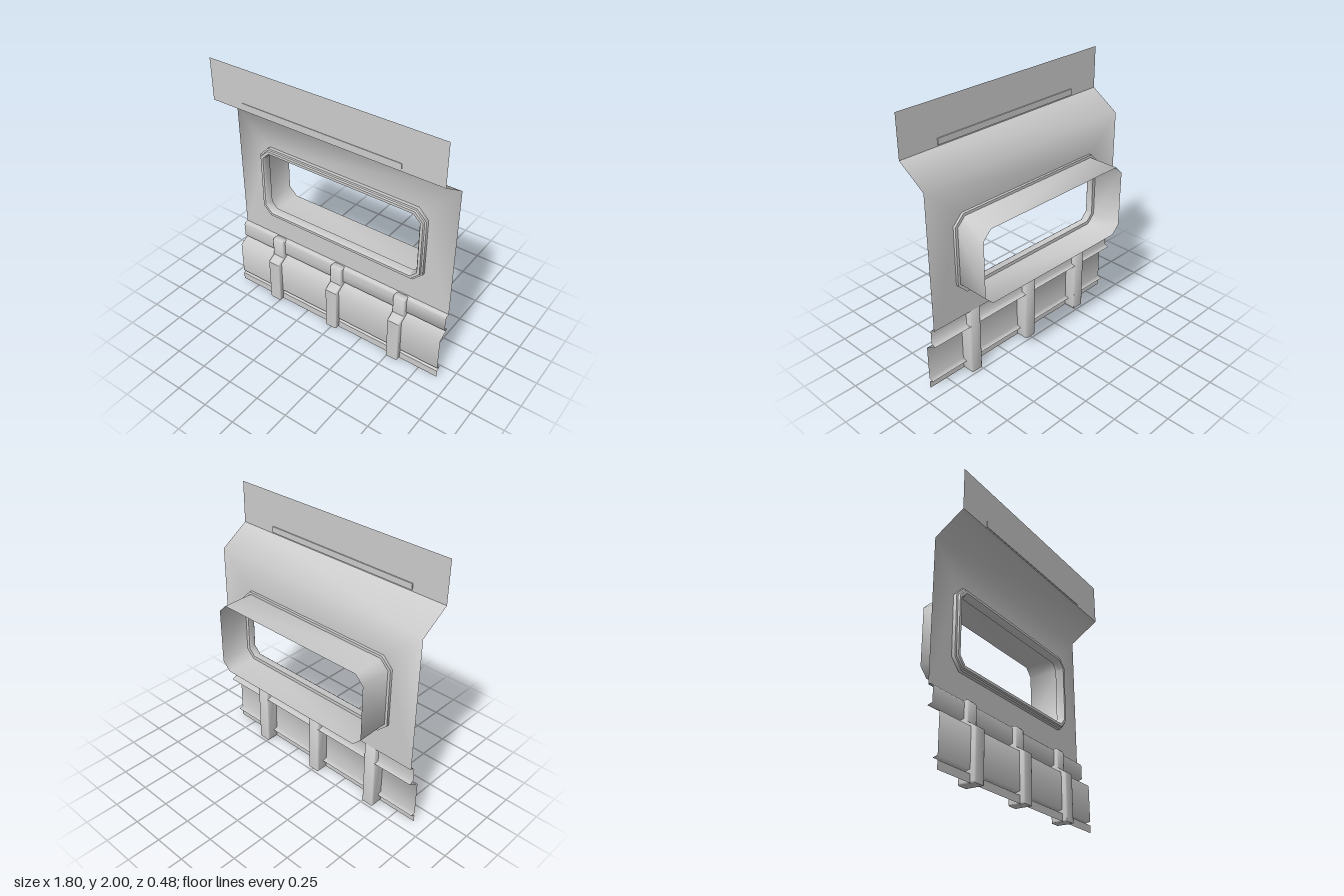
import * as THREE from 'three';
import { mergeGeometries, mergeVertices, toCreasedNormals } from 'three/addons/utils/BufferGeometryUtils.js';

const WIDTH = 1.8;
const WINDOW = { y: 1.015, w: 0.69, h: 0.295, chamfer: 0.075 };

const solid = new THREE.MeshStandardMaterial({ color: 0xcccccc });
const sheet = new THREE.MeshStandardMaterial({ color: 0xcccccc, side: THREE.DoubleSide });

// Chamfered window outline, moved inwards by inset (counter-clockwise)
function windowOutline(inset) {
  const w = WINDOW.w - inset, h = WINDOW.h - inset, c = WINDOW.chamfer - 0.586 * inset;
  return [
    [w, -h + c], [w, h - c], [w - c, h], [-w + c, h],
    [-w, h - c], [-w, -h + c], [-w + c, -h], [w - c, -h],
  ].map(([x, y]) => new THREE.Vector2(x, y + WINDOW.y));
}

// Sweeps a section of [inset, z] points around the window outline
function windowSweep(section) {
  const pos = [], index = [];
  section.forEach(([inset, z]) => windowOutline(inset).forEach(p => pos.push(p.x, p.y, z)));
  for (let r = 0; r < section.length - 1; r++) {
    for (let i = 0; i < 8; i++) {
      const a = r * 8 + i, b = r * 8 + (i + 1) % 8;
      index.push(a, b, b + 8, a, b + 8, a + 8);
    }
  }
  const geo = new THREE.BufferGeometry();
  geo.setAttribute('position', new THREE.Float32BufferAttribute(pos, 3));
  geo.setIndex(index);
  return geo;
}

// Full-width sheet following a profile of [z, y] points from top to bottom
function profileSheet(profile) {
  const geo = new THREE.PlaneGeometry(WIDTH, 1, 1, profile.length - 1);
  const pos = geo.attributes.position;
  for (let i = 0; i < pos.count; i++) {
    const [z, y] = profile[Math.floor(i / 2)];
    pos.setY(i, y);
    pos.setZ(i, z);
  }
  geo.computeVertexNormals();
  return geo;
}

// Wall with window hole, blended smoothly into the overhanging slope
function wallGeometry() {
  const half = WIDTH / 2;
  const shape = new THREE.Shape([
    new THREE.Vector2(-half, 0.53), new THREE.Vector2(half, 0.53),
    new THREE.Vector2(half, 1.55), new THREE.Vector2(-half, 1.55),
  ]);
  shape.holes.push(new THREE.Path(windowOutline(0.02).reverse()));
  const wall = new THREE.ShapeGeometry(shape).translate(0, 0, 0.02);
  const slope = profileSheet([[0.236, 1.69], [0.02, 1.55]]);
  for (const g of [wall, slope]) {
    g.deleteAttribute('uv');
    g.deleteAttribute('normal');
  }
  const geo = mergeVertices(mergeGeometries([wall, slope]));
  geo.computeVertexNormals();
  return geo;
}

// Stepped upright rib with softened edges
function ribGeometry(width) {
  const bevel = 0.012;
  const shape = new THREE.Shape([
    [0.02, 0], [0.145, 0], [0.145, 0.35], [0.083, 0.387],
    [0.083, 0.522], [0.072, 0.535], [0.03, 0.535], [0.02, 0.525],
  ].map(([z, y]) => new THREE.Vector2(z, y)));
  const geo = new THREE.ExtrudeGeometry(shape, {
    depth: width - 2 * bevel, bevelEnabled: true, bevelThickness: bevel,
    bevelSize: bevel, bevelOffset: -bevel, bevelSegments: 2,
  });
  geo.translate(0, 0, -(width - 2 * bevel) / 2).rotateY(-Math.PI / 2);
  return toCreasedNormals(geo, 0.9);
}

export function createModel() {
  const model = new THREE.Group();
  model.name = 'windowWallPanel';
  const add = (name, geometry, material) => {
    const mesh = new THREE.Mesh(geometry, material);
    mesh.name = name;
    model.add(mesh);
    return mesh;
  };

  // Wall, overhang and upper plate
  add('wall', wallGeometry(), sheet);
  add('upperPlate', profileSheet([[0.236, 2], [0.236, 1.69]]), sheet);
  add('upperStrip', new THREE.BoxGeometry(1.24, 0.045, 0.012), solid).position.set(-0.02, 1.723, 0.234);

  // Window frame and the open tunnel behind it
  const frame = windowSweep([
    [0.045, 0], [0, 0], [0, 0.045], [0.012, 0.048],
    [0.016, 0.062], [0.036, 0.062], [0.045, 0.05], [0.045, 0],
  ]);
  // Sections run outside-in, so both sides are drawn
  add('windowFrame', toCreasedNormals(frame, 0.8), sheet);
  const tunnel = windowSweep([[0.02, -0.24], [0.02, 0.01]]).toNonIndexed();
  // Reverse the winding so the outer side is the front
  const p = tunnel.attributes.position;
  const v = new THREE.Vector3(), u = new THREE.Vector3();
  const n = v.clone().fromBufferAttribute(p, 1).sub(u.fromBufferAttribute(p, 0))
    .cross(new THREE.Vector3().fromBufferAttribute(p, 2).sub(u));
  if (n.x < 0) tunnel.scale(-1, 1, 1);
  add('windowTunnel', toCreasedNormals(tunnel, 0.9), sheet);

  // Lower rail, skirt and bottom lip
  add('rail', profileSheet([[0.02, 0.535], [0.045, 0.53], [0.056, 0.515], [0.056, 0.412], [0.02, 0.4]]), sheet);
  add('skirt', profileSheet([[0.02, 0.4], [0.11, 0.35], [0.11, 0.085], [0.075, 0.075]]), sheet);
  add('bottomLip', toCreasedNormals(profileSheet([[0.075, 0.075], [0.11, 0.056], [0.11, 0]]), 0.5), sheet);

  // Ribs across the skirt
  const rib = ribGeometry(0.1);
  for (const x of [-0.543, -0.003, 0.54]) add('rib', rib, solid).position.x = x;

  return model;
}
